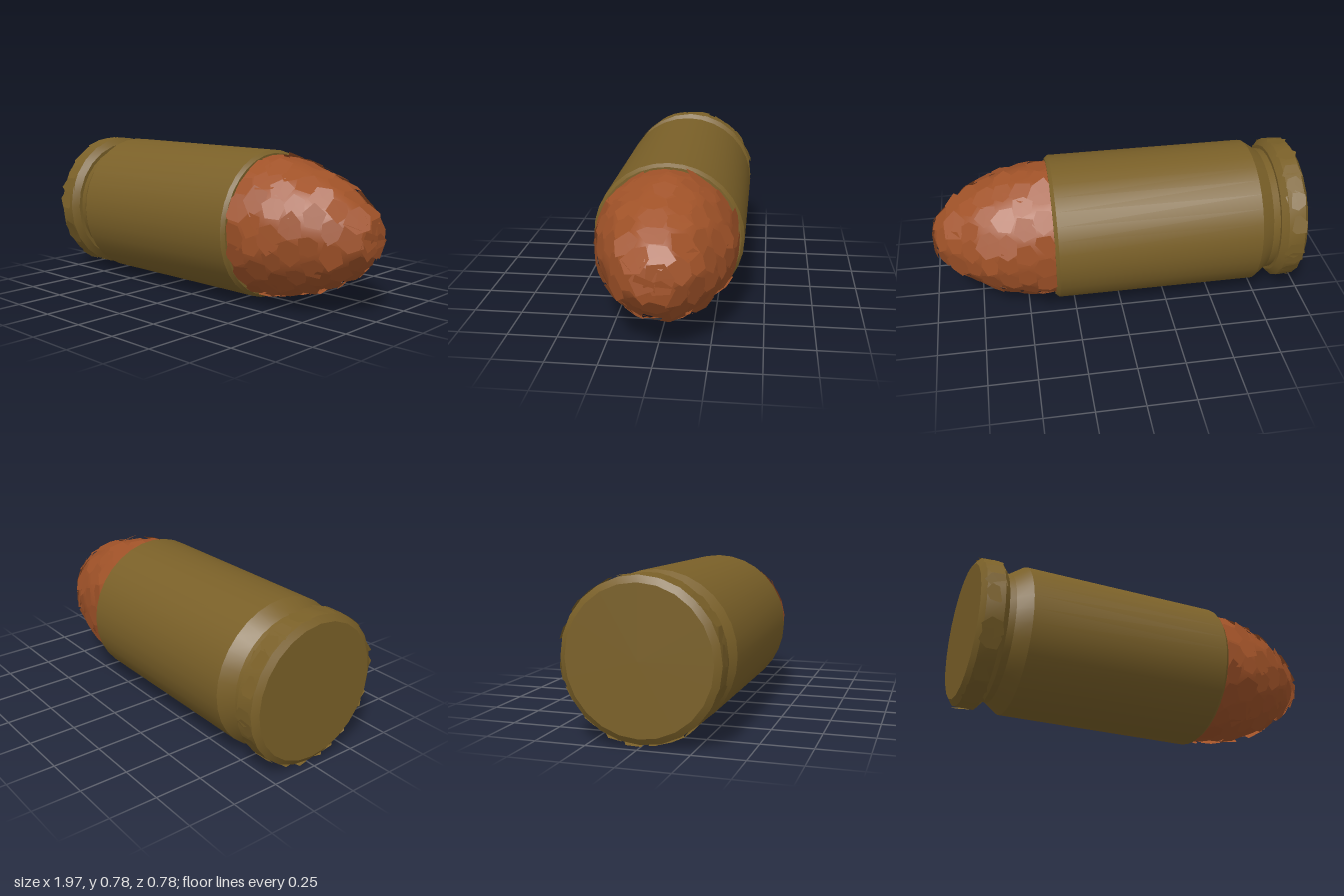
import * as THREE from 'three';
import { mergeGeometries, toCreasedNormals } from 'three/addons/utils/BufferGeometryUtils.js';

const AXIS_Y = 0.39; // height of the long axis

// Small seeded generator, returns -1..1
function seeded(seed) {
  return () => {
    seed = (seed * 16807) % 2147483647;
    return (seed / 2147483647) * 2 - 1;
  };
}

// Revolve [x, radius] pairs around the x axis
function revolve(profile, segments) {
  const geo = new THREE.LatheGeometry(profile.map(([x, r]) => new THREE.Vector2(r, x)), segments);
  geo.rotateZ(-Math.PI / 2);
  return toCreasedNormals(geo, 0.4);
}

// One irregular flat shard lying on a surface of revolution
function shard(x, r, phi, slope, halfLength, halfWidth, tilt, rnd) {
  const geo = new THREE.CircleGeometry(1, rnd() > 0 ? 5 : 6, rnd() * 3);
  const pos = geo.attributes.position;
  for (let i = 1; i < pos.count; i++) {
    const k = 1 + 0.18 * rnd();
    pos.setXY(i, pos.getX(i) * k * halfLength, pos.getY(i) * k * halfWidth);
  }
  pos.setXY(pos.count - 1, pos.getX(1), pos.getY(1));
  geo.rotateX(tilt * rnd());
  geo.rotateY(tilt * rnd() + slope);
  geo.translate(x, 0, r);
  geo.rotateX(phi);
  geo.computeVertexNormals();
  return geo;
}

export function createModel() {
  const group = new THREE.Group();
  const brass = new THREE.MeshStandardMaterial({ color: 0x7a6028, side: THREE.DoubleSide });
  brass.name = 'brass';
  const copper = new THREE.MeshStandardMaterial({ color: 0xa05228, side: THREE.DoubleSide });
  copper.name = 'copper';

  const add = (name, geo, material) => {
    const mesh = new THREE.Mesh(geo, material);
    mesh.name = name;
    mesh.position.y = AXIS_Y;
    group.add(mesh);
  };

  // Straight case with a bevel at each end and a thin mouth
  add('caseBody', revolve([
    [-0.8, 0.335], [-0.725, 0.388], [0.34, 0.388], [0.358, 0.372], [0.358, 0.34],
  ], 32), brass);

  // Extractor groove behind the case
  add('extractorGroove', revolve([[-0.85, 0.33], [-0.79, 0.338]], 32), brass);

  // Rim with its flat base
  add('rim', revolve([
    [-0.978, 0], [-0.978, 0.35], [-0.955, 0.382], [-0.865, 0.386], [-0.835, 0.352], [-0.835, 0.32],
  ], 24), brass);

  // Uneven facets around the rim
  const rnd = seeded(71);
  const rimShards = [];
  for (let i = 0; i < 22; i++) {
    const phi = (i + 0.3 * rnd()) * Math.PI * 2 / 22;
    rimShards.push(shard(-0.91, 0.384, phi, 0, 0.055, 0.055, 0.12, rnd));
  }
  add('rimFacets', mergeGeometries(rimShards), brass);

  // Rounded projectile core
  const ogive = new THREE.SplineCurve([
    [0.35, 0.366], [0.5, 0.35], [0.62, 0.32], [0.74, 0.272],
    [0.84, 0.212], [0.92, 0.143], [0.965, 0.08], [0.985, 0],
  ].map(([x, r]) => new THREE.Vector2(x, r)));
  add('projectileCore', revolve(
    ogive.getSpacedPoints(14).map((p) => [p.x - 0.005, Math.max(0, p.y - 0.006)]), 32), copper);

  // Overlapping shards covering the projectile
  const shards = [];
  const rows = 8;
  for (let row = 0; row < rows; row++) {
    const u = (row + 0.55) / rows;
    const p = ogive.getPointAt(u);
    const t = ogive.getTangentAt(u);
    const slope = Math.atan2(-t.y, t.x);
    const count = Math.max(4, Math.round(Math.PI * 2 * p.y / 0.125));
    for (let i = 0; i < count; i++) {
      const phi = (i + 0.5 * (row % 2) + 0.2 * rnd()) * Math.PI * 2 / count;
      const size = 0.062 + 0.01 * rnd();
      shards.push(shard(p.x, p.y - 0.001, phi, slope, size, size * 1.1, 0.16, rnd));
    }
  }
  add('projectileShards', mergeGeometries(shards), copper);

  return group;
}
